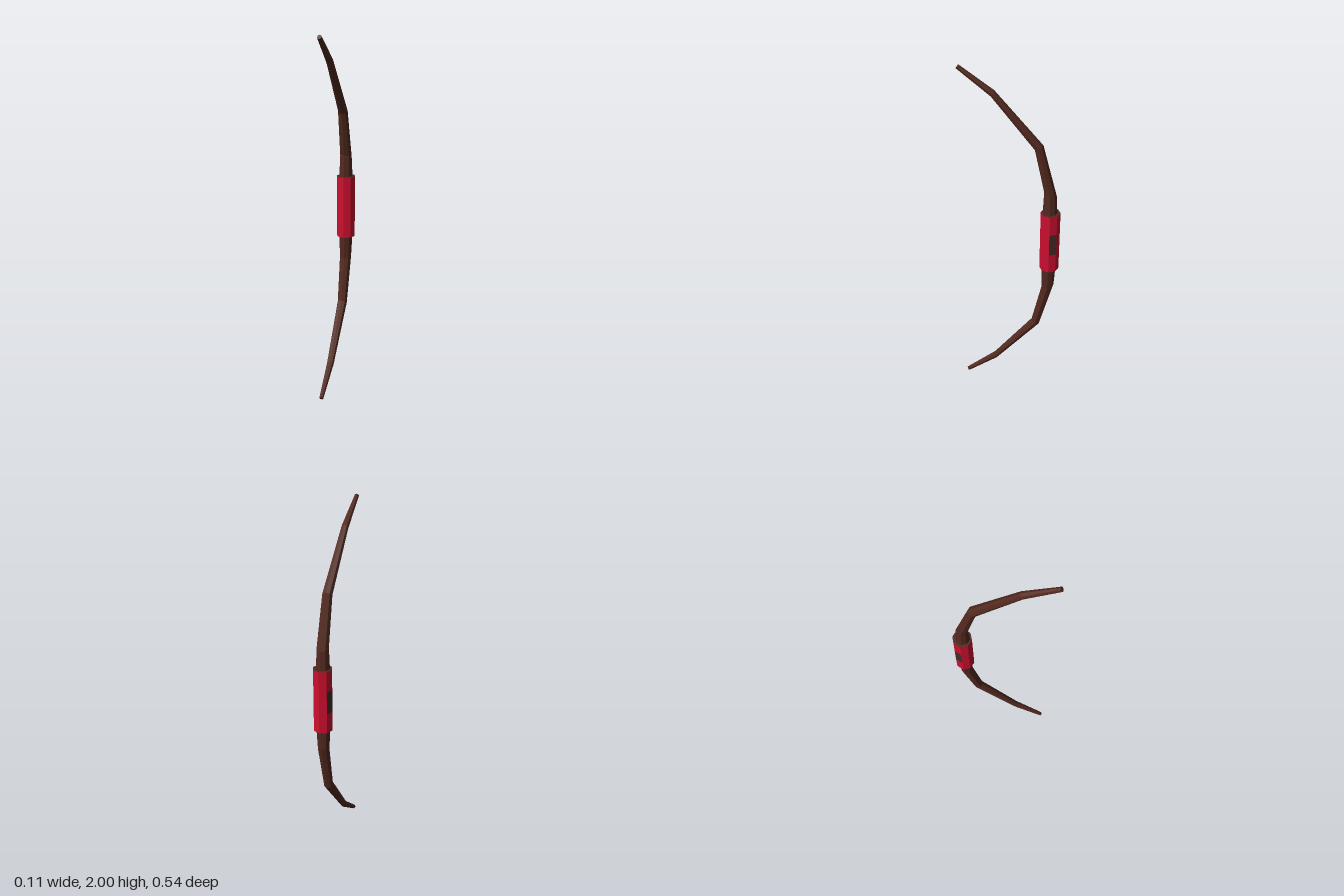
import * as THREE from 'three';

const SIDES = 8;
const GRIP_R = 0.054, GRIP_H = 0.36, GRIP_Z = -0.22;

// Loft eight-sided rings; each ring is [outerZ, outerY, innerZ, innerY, halfWidth]
function loft(rings) {
  const centre = ([oz, oy, iz, iy]) => [0, (oy + iy) / 2, (oz + iz) / 2];
  const point = (ring, k) => {
    const [oz, oy, iz, iy, w] = ring;
    const a = (k / SIDES) * Math.PI * 2, c = centre(ring);
    const s = Math.sin(a) / 2;
    return [w * Math.cos(a), c[1] + (iy - oy) * s, c[2] + (iz - oz) * s];
  };
  const pos = [];
  const first = rings[0], last = rings[rings.length - 1];
  for (let k = 0; k < SIDES; k++) {
    for (let i = 0; i < rings.length - 1; i++) {
      const a = point(rings[i], k), b = point(rings[i], k + 1);
      const c = point(rings[i + 1], k), d = point(rings[i + 1], k + 1);
      pos.push(...a, ...c, ...b, ...b, ...c, ...d);
    }
    pos.push(...centre(last), ...point(last, k + 1), ...point(last, k));
    pos.push(...centre(first), ...point(first, k), ...point(first, k + 1));
  }
  const geo = new THREE.BufferGeometry();
  geo.setAttribute('position', new THREE.Float32BufferAttribute(pos, 3));
  geo.computeVertexNormals();
  return geo;
}

export function createModel() {
  const group = new THREE.Group();
  const wood = new THREE.MeshStandardMaterial({ color: 0x52291f, flatShading: true });
  const red = new THREE.MeshStandardMaterial({ color: 0xcc0f2e, flatShading: true });
  const plate = new THREE.MeshStandardMaterial({ color: 0x432c25, flatShading: true });

  // Curved limbs: upper half rings, mirrored about y = 1 for the lower half
  const upper = [
    [-0.257, 1.18, -0.177, 1.18, 0.04],
    [-0.25, 1.29, -0.182, 1.31, 0.034],
    [-0.172, 1.585, -0.128, 1.555, 0.028],
    [0.08, 1.875, 0.098, 1.84, 0.02],
    [0.255, 2.0, 0.27, 1.98, 0.012],
  ];
  const lower = upper.map(([oz, oy, iz, iy, w]) => [oz, 2 - oy, iz, 2 - iy, w]).reverse();
  const limbs = new THREE.Mesh(loft([...lower, ...upper]), wood);
  limbs.name = 'bowLimbs';
  group.add(limbs);

  // Octagonal grip: red wrap with wooden end shoulders
  const grip = new THREE.Mesh(
    new THREE.CylinderGeometry(GRIP_R, GRIP_R, GRIP_H, SIDES), [red, wood, wood]);
  grip.name = 'grip';
  grip.position.set(0, 1.005, GRIP_Z);
  group.add(grip);

  // Bare patch on each rear side face of the grip
  const half = Math.PI / SIDES;
  const apothem = GRIP_R * Math.cos(half) + 0.001;
  for (const side of [1, -1]) {
    const angle = side * 5 * half;
    const patch = new THREE.Mesh(
      new THREE.PlaneGeometry(2 * GRIP_R * Math.sin(half), 0.13), plate);
    patch.name = side > 0 ? 'leftGripPatch' : 'rightGripPatch';
    patch.rotation.y = angle;
    patch.position.set(Math.sin(angle) * apothem, 1.005, GRIP_Z + Math.cos(angle) * apothem);
    group.add(patch);
  }
  return group;
}
